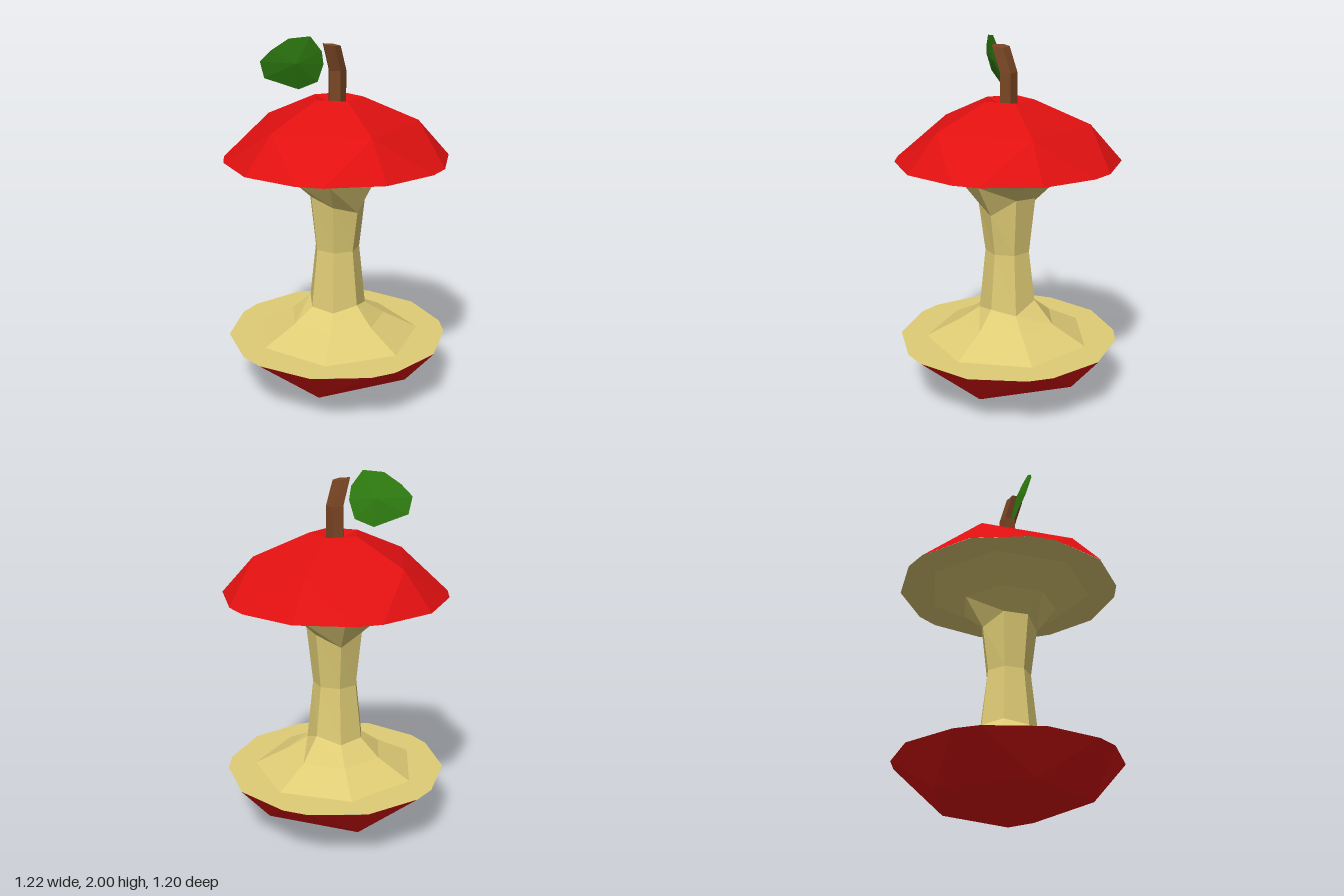
import * as THREE from 'three';

const mat = (name, color, side = THREE.FrontSide) => {
  const m = new THREE.MeshStandardMaterial({ color, flatShading: true, side });
  m.name = name;
  return m;
};
const V = (x, y, z) => new THREE.Vector3(x, y, z);
const polar = (r, y, deg) => {
  const a = THREE.MathUtils.degToRad(deg);
  return V(r * Math.cos(a), y, r * Math.sin(a));
};

// Geometry from polygons; each polygon is split into a fan
function polygons(list, flip = false) {
  const pts = [];
  for (const p of list) {
    for (let i = 1; i < p.length - 1; i++) {
      pts.push(...(flip ? [p[0], p[i + 1], p[i]] : [p[0], p[i], p[i + 1]]));
    }
  }
  const g = new THREE.BufferGeometry().setFromPoints(pts);
  g.computeVertexNormals();
  return g;
}

// Five-fold skin: apex, pentagon rings, then a fifteen-point rim
function skin(apexY, rings, rimY, phase, flip) {
  const faces = [];
  const apex = V(0, apexY, 0);
  for (let k = 0; k < 5; k++) {
    const a = phase + 72 * k, b = a + 72;
    const at = ([r, y], deg) => polar(r, y, deg);
    faces.push([apex, at(rings[0], b), at(rings[0], a)]);
    for (let i = 1; i < rings.length; i++) {
      faces.push([at(rings[i - 1], a), at(rings[i - 1], b), at(rings[i], b), at(rings[i], a)]);
    }
    const last = rings[rings.length - 1];
    const m0 = at(last, a), m1 = at(last, b);
    const r0 = polar(0.612, rimY, a), r1 = polar(0.61, rimY, a + 29.5);
    const r2 = polar(0.61, rimY, a + 42.5), r3 = polar(0.612, rimY, b);
    faces.push([m0, m1, r2, r1], [m0, r1, r0], [m1, r3, r2]);
  }
  return polygons(faces, flip);
}

// Flat ring of flesh between the skin rim and the core
function fleshRing(y, phase, facing) {
  const rim = [];
  for (let k = 0; k < 5; k++) {
    for (const d of [0, 29.5, 42.5]) rim.push(polar(0.61, 0, phase + 72 * k + d));
  }
  const flat = (p) => new THREE.Vector2(p.x, p.z);
  const shape = new THREE.Shape(rim.map(flat));
  const hole = [...Array(7).keys()].map((k) => flat(polar(0.46, 0, (360 / 7) * k)));
  shape.holes.push(new THREE.Path(hole));
  const g = new THREE.ShapeGeometry(shape);
  g.rotateX((-facing * Math.PI) / 2);
  g.translate(0, y, 0);
  return g;
}

// Seven-sided waisted core with uneven bite edges
function coreGeometry() {
  const profile = [[0.46, 0.33], [0.27, 0.43], [0.16, 0.52], [0.125, 0.84],
    [0.16, 1.12], [0.27, 1.25], [0.46, 1.35]];
  const low = [0.5, 0.53, 0.5, 0.51, 0.53, 0.52, 0.56];
  const high = [1.16, 1.07, 1.11, 1.15, 1.15, 1.09, 1.15];
  const g = new THREE.LatheGeometry(profile.map(([r, y]) => new THREE.Vector2(r, y)), 7, Math.PI / 2);
  const pos = g.attributes.position;
  for (let i = 0; i <= 7; i++) {
    const k = (7 - i) % 7;
    pos.setY(i * 7 + 2, low[k]);
    pos.setY(i * 7 + 4, high[k]);
  }
  g.computeVertexNormals();
  return g;
}

// Five-sided stem, bent towards the left and front
function stemGeometry() {
  const g = new THREE.CylinderGeometry(0.05, 0.05, 2, 5, 2, false, Math.PI / 2);
  const pos = g.attributes.position;
  for (let i = 0; i < pos.count; i++) {
    const level = Math.round(pos.getY(i)) + 1;
    const lean = level === 2 ? 1 : 0;
    const x = pos.getX(i), z = pos.getZ(i);
    pos.setXYZ(i, x - 0.033 * lean, [1.61, 1.82, 1.955][level] - 0.1 * x * lean, z + 0.033 * lean);
  }
  g.computeVertexNormals();
  return g;
}

// Thin leaf: an outline with a raised middle on both sides, tilted forwards
function leafGeometry() {
  const outline = [[-0.4, 1.87], [-0.38, 1.78], [-0.2, 1.715], [-0.1, 1.755], [-0.07, 1.85],
    [-0.08, 1.92], [-0.14, 2.0], [-0.25, 1.99], [-0.34, 1.93]];
  const tilt = (x, y, d) => V(x, y, 0.008 + (y - 1.86) * 0.25 + d);
  const n = outline.length;
  const faces = [];
  for (let i = 0; i < n; i++) {
    const p = tilt(...outline[i], 0), q = tilt(...outline[(i + 1) % n], 0);
    faces.push([tilt(-0.21, 1.86, 0.022), p, q], [tilt(-0.21, 1.86, -0.022), q, p]);
  }
  return polygons(faces);
}

export function createModel() {
  const red = mat('red skin', 0xe01010);
  const cream = mat('cream flesh', 0xdfcc75);
  const brown = mat('brown stem', 0x7a4624);
  const green = mat('green leaf', 0x2f7c11);

  const model = new THREE.Group();
  model.name = 'appleCore';
  const add = (name, geometry, material) => {
    const mesh = new THREE.Mesh(geometry, material);
    mesh.name = name;
    model.add(mesh);
  };

  add('topSkin', skin(1.63, [[0.14, 1.677], [0.44, 1.545]], 1.35, 0, false), red);
  add('bottomSkin', skin(0, [[0.44, 0.13]], 0.33, 36, true), red);
  add('core', coreGeometry(), cream);
  add('topFlesh', fleshRing(1.35, 0, -1), cream);
  add('bottomFlesh', fleshRing(0.33, 36, 1), cream);
  add('stem', stemGeometry(), brown);
  add('leaf', leafGeometry(), green);
  return model;
}
